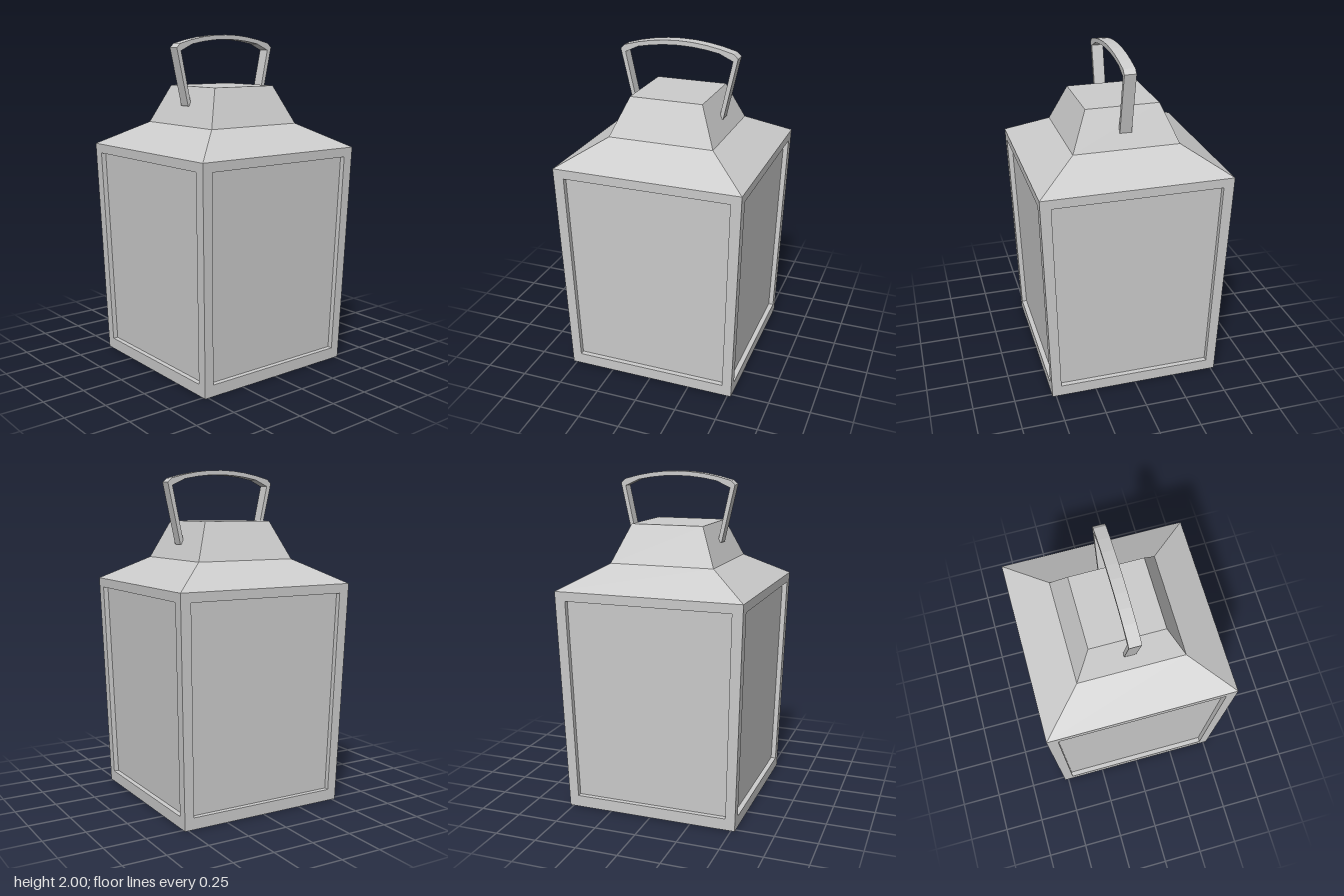
import * as THREE from 'three';

const metal = new THREE.MeshStandardMaterial({ color: 0xcccccc });
metal.name = 'lanternGrey';

const H = 1.335, BASE = 0.522, TOP = 0.561;
const halfAt = (y) => BASE + (TOP - BASE) * y / H;

function mesh(name, geometry) {
  const m = new THREE.Mesh(geometry, metal);
  m.name = name;
  return m;
}

// Square tapered block between two heights
function taper(name, topHalf, bottomHalf, y0, y1) {
  const r = Math.SQRT2;
  const g = new THREE.CylinderGeometry(topHalf * r, bottomHalf * r, y1 - y0, 4, 1).toNonIndexed();
  g.rotateY(Math.PI / 4);
  g.translate(0, (y0 + y1) / 2, 0);
  g.computeVertexNormals();
  return mesh(name, g);
}

// Four corners on the leaning front wall, sunk by a depth
function ring(bottomHalf, topHalf, y0, y1, depth) {
  return [[-bottomHalf, y0], [bottomHalf, y0], [topHalf, y1], [-topHalf, y1]]
    .map(([x, y]) => [x, y, halfAt(y) - depth]);
}

function quads(list) {
  const pos = [];
  for (const [a, b, c, d] of list) pos.push(...a, ...b, ...c, ...a, ...c, ...d);
  const g = new THREE.BufferGeometry();
  g.setAttribute('position', new THREE.Float32BufferAttribute(pos, 3));
  g.computeVertexNormals();
  return g;
}

export function createModel() {
  const model = new THREE.Group();
  model.name = 'lantern';

  // Four walls, each a frame around a sunken pane
  const outer = ring(BASE, TOP, 0, H, 0);
  const opening = ring(0.466, 0.497, 0.07, 1.28, 0);
  const sunk = ring(0.466, 0.497, 0.07, 1.28, 0.03);
  const frame = [];
  for (const [a, b] of [[outer, opening], [opening, sunk]]) {
    for (let i = 0; i < 4; i++) {
      const j = (i + 1) % 4;
      frame.push([a[i], a[j], b[j], b[i]]);
    }
  }
  const frameGeometry = quads(frame);
  const paneGeometry = quads([sunk]);
  for (let i = 0; i < 4; i++) {
    const wall = new THREE.Group();
    wall.name = 'wall' + (i + 1);
    wall.add(mesh('wallFrame', frameGeometry), mesh('windowPane', paneGeometry));
    wall.rotation.y = i * Math.PI / 2;
    model.add(wall);
  }

  // Floor, facing down
  const floor = new THREE.PlaneGeometry(BASE * 2, BASE * 2);
  floor.rotateX(Math.PI / 2);
  model.add(mesh('floor', floor));

  // Sloping roof and chimney cap
  model.add(taper('roof', 0.316, TOP, H, 1.475));
  model.add(taper('chimneyCap', 0.219, 0.316, 1.475, 1.70));

  // Flat strap handle, drawn in the side plane and extruded across x
  const strap = [[0.275, 1.587], [0.352, 1.925], [0.327, 1.95]];
  const N = 8;
  for (let i = 1; i < N; i++) {
    const t = -1 + 2 * i / N;
    strap.push([-0.005 - t * 0.332, 1.95 + 0.05 * (1 - t * t)]);
  }
  strap.push([-0.337, 1.95], [-0.364, 1.925], [-0.284, 1.562], [-0.26, 1.562], [-0.334, 1.908]);
  for (let i = N - 1; i > 0; i--) {
    const t = -1 + 2 * i / N;
    strap.push([-0.005 - t * 0.329, 1.925 + 0.048 * (1 - t * t)]);
  }
  strap.push([0.322, 1.908], [0.252, 1.587]);
  const handle = new THREE.ExtrudeGeometry(
    new THREE.Shape(strap.map(([z, y]) => new THREE.Vector2(z, y))),
    { depth: 0.07, bevelEnabled: false });
  handle.translate(0, 0, -0.035);
  handle.rotateY(-Math.PI / 2);
  model.add(mesh('handle', handle));

  return model;
}
